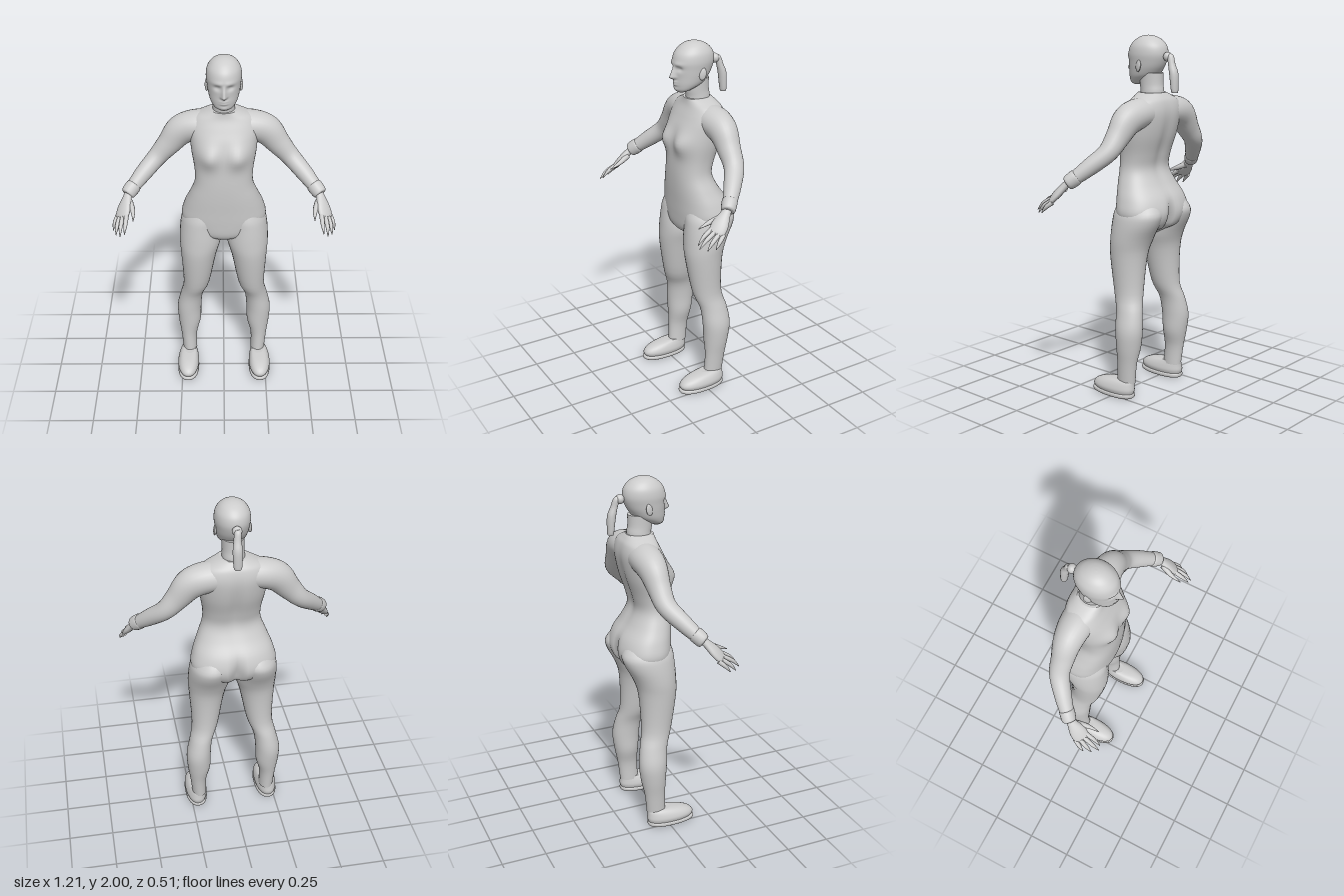
import * as THREE from 'three';

const grey = new THREE.MeshStandardMaterial({ color: 0xcccccc });
grey.name = 'plain grey';

// Catmull-Rom interpolation of whole key rows
function refine(keys, steps) {
  const rows = [], last = keys.length - 1;
  for (let i = 0; i < last; i++) {
    const a = keys[Math.max(i - 1, 0)], b = keys[i], c = keys[i + 1], d = keys[Math.min(i + 2, last)];
    for (let s = 0; s < steps; s++) {
      const t = s / steps;
      rows.push(b.map((v, k) => v + 0.5 * t * (c[k] - a[k] + t * (2 * a[k] - 5 * v + 4 * c[k] - d[k]
        + t * (3 * (v - c[k]) + d[k] - a[k])))));
    }
  }
  rows.push(keys[last]);
  return rows;
}

// Closed smooth skin over a list of rings, with a point at each end
function skin(name, rings) {
  const n = rings[0].length, pos = [], index = [];
  rings.forEach(r => r.forEach(p => pos.push(p.x, p.y, p.z)));
  for (let i = 0; i < rings.length - 1; i++) for (let j = 0; j < n; j++) {
    const a = i * n + j, b = i * n + (j + 1) % n;
    index.push(a, b, b + n, a, b + n, a + n);
  }
  [0, rings.length - 1].forEach(i => {
    const c = new THREE.Vector3(), tip = pos.length / 3, base = pos.length / 3;
    rings[i].forEach(p => c.addScaledVector(p, 1 / n));
    rings[i].forEach(p => pos.push(p.x, p.y, p.z));
    pos.push(c.x, c.y, c.z);
    for (let j = 0; j < n; j++) {
      const a = base + j, b = base + (j + 1) % n;
      if (i === 0) index.push(tip + n, b, a); else index.push(tip + n, a, b);
    }
  });
  const g = new THREE.BufferGeometry();
  g.setAttribute('position', new THREE.Float32BufferAttribute(pos, 3));
  g.setIndex(index);
  g.computeVertexNormals();
  const mesh = new THREE.Mesh(g, grey);
  mesh.name = name;
  return mesh;
}

// Level rings, bottom up: [y, centreX, halfWidth, frontZ, backZ]
function loft(name, keys, { n = 32, steps = 4, square = 1, shape } = {}) {
  const pw = v => Math.sign(v) * Math.abs(v) ** square;
  return skin(name, refine(keys, steps).map(([y, cx, hw, zf, zb]) =>
    Array.from({ length: n }, (_, j) => {
      const a = j / n * Math.PI * 2;
      const p = new THREE.Vector3(cx + pw(Math.sin(a)) * hw, y, (zf + zb) / 2 + pw(Math.cos(a)) * (zf - zb) / 2);
      if (shape) shape(p, Math.cos(a));
      return p;
    })));
}

// Rings square to a path: [x, y, z, radius along hint, radius across]
function limb(name, keys, hint, n = 20, steps = 4) {
  const rows = refine(keys, steps), at = r => new THREE.Vector3(r[0], r[1], r[2]);
  return skin(name, rows.map((r, i) => {
    const t = at(rows[Math.min(i + 1, rows.length - 1)]).sub(at(rows[Math.max(i - 1, 0)])).normalize();
    const u = new THREE.Vector3(...hint).addScaledVector(t, -t.dot(new THREE.Vector3(...hint))).normalize();
    const v = t.clone().cross(u);
    return Array.from({ length: n }, (_, j) => {
      const a = j / n * Math.PI * 2;
      return at(r).addScaledVector(u, Math.cos(a) * r[3]).addScaledVector(v, Math.sin(a) * r[4]);
    });
  }));
}

function ball(name, x, y, z, sx, sy, sz) {
  const m = new THREE.Mesh(new THREE.SphereGeometry(1, 20, 14), grey);
  m.position.set(x, y, z);
  m.scale.set(sx, sy, sz);
  m.name = name;
  return m;
}

const bump = (d, w) => Math.exp(-d * d / (w * w));

// Nose, brow, eye sockets, lips and chin
function face(p, front) {
  if (front <= 0) return;
  const x = Math.abs(p.x), y = p.y;
  const slope = THREE.MathUtils.clamp((1.885 - y) / 0.065, 0, 1) * (y < 1.82 ? bump(y - 1.82, 0.012) : 1);
  p.z += 0.034 * slope * bump(x, 0.008 + 0.006 * slope);
  p.z += 0.005 * bump(y - 1.89, 0.012) * bump(x - 0.03, 0.03);
  p.z -= 0.011 * bump(y - 1.866, 0.014) * bump(x - 0.034, 0.018);
  p.z += 0.009 * (bump(y - 1.793, 0.006) + bump(y - 1.779, 0.006)) * bump(x, 0.02);
  p.z += 0.006 * bump(y - 1.752, 0.012) * bump(x, 0.022);
}

// Breasts, seat cleft and spine furrow
function bodyShape(p, front) {
  const x = Math.abs(p.x), y = p.y;
  if (front > 0) p.z += 0.036 * front * bump(x - 0.085, 0.06) * bump(y - 1.465, 0.06);
  else {
    p.z -= 0.045 * front * bump(x, 0.025) * bump(y - 1.02, 0.08);
    p.z -= 0.014 * front * bump(x, 0.035) * bump(y - 1.4, 0.18);
  }
}

// Limbs of the +x side
function buildSide(label) {
  const g = new THREE.Group();
  g.name = label + 'Limbs';
  g.add(loft('leg', [
    [0.085, 0.205, 0.041, -0.01, -0.122], [0.2, 0.21, 0.047, -0.015, -0.135], [0.3, 0.205, 0.066, -0.01, -0.155],
    [0.4, 0.205, 0.07, -0.004, -0.166], [0.5, 0.188, 0.065, 0.006, -0.153], [0.6, 0.16, 0.075, 0.04, -0.132],
    [0.8, 0.145, 0.1, 0.073, -0.14], [0.9, 0.134, 0.117, 0.075, -0.168], [1.0, 0.13, 0.115, 0.068, -0.22],
    [1.06, 0.122, 0.105, 0.06, -0.225], [1.14, 0.11, 0.06, 0.03, -0.16]]));
  // Shoe
  g.add(loft('shoeSole', [
    [0, 0.215, 0.055, 0.15, -0.112], [0.008, 0.215, 0.063, 0.163, -0.12],
    [0.022, 0.215, 0.063, 0.163, -0.12], [0.026, 0.215, 0.056, 0.153, -0.115]], { square: 0.85 }));
  g.add(loft('shoeUpper', [
    [0.022, 0.215, 0.056, 0.15, -0.115], [0.045, 0.215, 0.063, 0.16, -0.122], [0.07, 0.214, 0.058, 0.14, -0.12],
    [0.09, 0.212, 0.048, 0.09, -0.118], [0.101, 0.208, 0.038, 0.02, -0.115]], { square: 0.9 }));
  // Sleeve and cuff
  const armHint = [0.6, 1, 0];
  g.add(limb('arm', [
    [0.05, 1.59, -0.09, 0.083, 0.09], [0.15, 1.587, -0.095, 0.083, 0.088], [0.232, 1.555, -0.095, 0.083, 0.076],
    [0.298, 1.478, -0.09, 0.066, 0.062], [0.365, 1.402, -0.078, 0.052, 0.054], [0.44, 1.33, -0.02, 0.046, 0.046],
    [0.505, 1.265, 0.04, 0.036, 0.036], [0.52, 1.25, 0.055, 0.033, 0.033]], armHint, 28, 5));
  g.add(limb('cuff', [
    [0.487, 1.283, 0.024, 0.034, 0.034], [0.492, 1.278, 0.029, 0.043, 0.041],
    [0.52, 1.25, 0.055, 0.04, 0.038], [0.526, 1.244, 0.061, 0.03, 0.029]], armHint));
  // Hand
  g.add(limb('palm', [
    [0.512, 1.258, 0.048, 0.022, 0.02], [0.525, 1.233, 0.075, 0.027, 0.02], [0.54, 1.19, 0.115, 0.044, 0.021],
    [0.553, 1.155, 0.145, 0.043, 0.016], [0.558, 1.145, 0.155, 0.034, 0.008]], [0.8, -0.35, -0.45]));
  const fingers = {
    thumb: [[0.512, 1.215, 0.09], [0.492, 1.19, 0.15], [0.487, 1.165, 0.213]],
    indexFinger: [[0.526, 1.172, 0.15], [0.53, 1.14, 0.205], [0.535, 1.1, 0.245]],
    middleFinger: [[0.546, 1.16, 0.148], [0.556, 1.128, 0.208], [0.558, 1.088, 0.25]],
    ringFinger: [[0.564, 1.15, 0.138], [0.578, 1.118, 0.185], [0.583, 1.08, 0.218]],
    littleFinger: [[0.577, 1.145, 0.12], [0.593, 1.118, 0.152], [0.6, 1.086, 0.178]],
  };
  for (const [name, path] of Object.entries(fingers)) {
    const radii = name === 'thumb' ? [0.018, 0.013, 0.002] : [0.013, 0.011, 0.002];
    g.add(limb(name, path.map((p, i) => [...p, radii[i], radii[i]]), [0.8, -0.35, -0.45], 10));
  }
  // Ear and eye
  const ear = ball('ear', 0.09, 1.838, -0.055, 0.009, 0.033, 0.02);
  ear.rotation.set(-0.2, -0.3, 0);
  g.add(ear, ball('eye', 0.034, 1.866, 0.036, 0.013, 0.008, 0.011));
  return g;
}

export function createModel() {
  const model = new THREE.Group();
  model.name = 'figure';
  model.add(loft('torso', [
    [0.905, 0, 0.02, -0.01, -0.09], [0.935, 0, 0.1, 0.04, -0.14], [0.97, 0, 0.19, 0.062, -0.2],
    [1.04, 0, 0.236, 0.07, -0.23], [1.12, 0, 0.222, 0.075, -0.212], [1.2, 0, 0.19, 0.08, -0.16],
    [1.28, 0, 0.161, 0.082, -0.127], [1.36, 0, 0.16, 0.08, -0.142], [1.46, 0, 0.176, 0.074, -0.175],
    [1.54, 0, 0.184, 0.058, -0.192], [1.6, 0, 0.188, 0.032, -0.195], [1.65, 0, 0.165, 0.008, -0.184],
    [1.677, 0, 0.115, 0, -0.166], [1.695, 0, 0.073, -0.002, -0.15]],
  { n: 64, steps: 5, square: 0.88, shape: bodyShape }));
  model.add(loft('neck', [
    [1.64, 0, 0.065, -0.012, -0.145], [1.7, 0, 0.06, -0.012, -0.146], [1.74, 0, 0.058, -0.005, -0.14],
    [1.8, 0, 0.06, 0, -0.14]]));
  model.add(loft('head', [
    [1.735, 0, 0.025, 0.045, 0], [1.75, 0, 0.052, 0.057, -0.035], [1.78, 0, 0.073, 0.063, -0.1],
    [1.82, 0, 0.084, 0.064, -0.136], [1.86, 0, 0.09, 0.067, -0.157], [1.9, 0, 0.094, 0.068, -0.167],
    [1.94, 0, 0.088, 0.056, -0.16], [1.97, 0, 0.07, 0.03, -0.136], [1.988, 0, 0.048, 0.002, -0.106],
    [1.997, 0, 0.024, -0.024, -0.078], [2, 0, 0.002, -0.048, -0.054]],
  { n: 96, steps: 7, shape: face }));
  // Ponytail
  model.add(ball('hairTie', 0, 1.888, -0.185, 0.026, 0.026, 0.024));
  model.add(loft('ponytail', [
    [1.7, 0.005, 0.018, -0.222, -0.253], [1.72, 0.005, 0.023, -0.218, -0.255], [1.8, 0.005, 0.026, -0.207, -0.254],
    [1.85, 0.004, 0.02, -0.196, -0.235], [1.89, 0, 0.018, -0.185, -0.222], [1.905, 0, 0.008, -0.19, -0.208]], { n: 16 }));
  // Limbs, mirrored for the right side
  const right = buildSide('right');
  right.scale.x = -1;
  model.add(buildSide('left'), right);
  return model;
}
